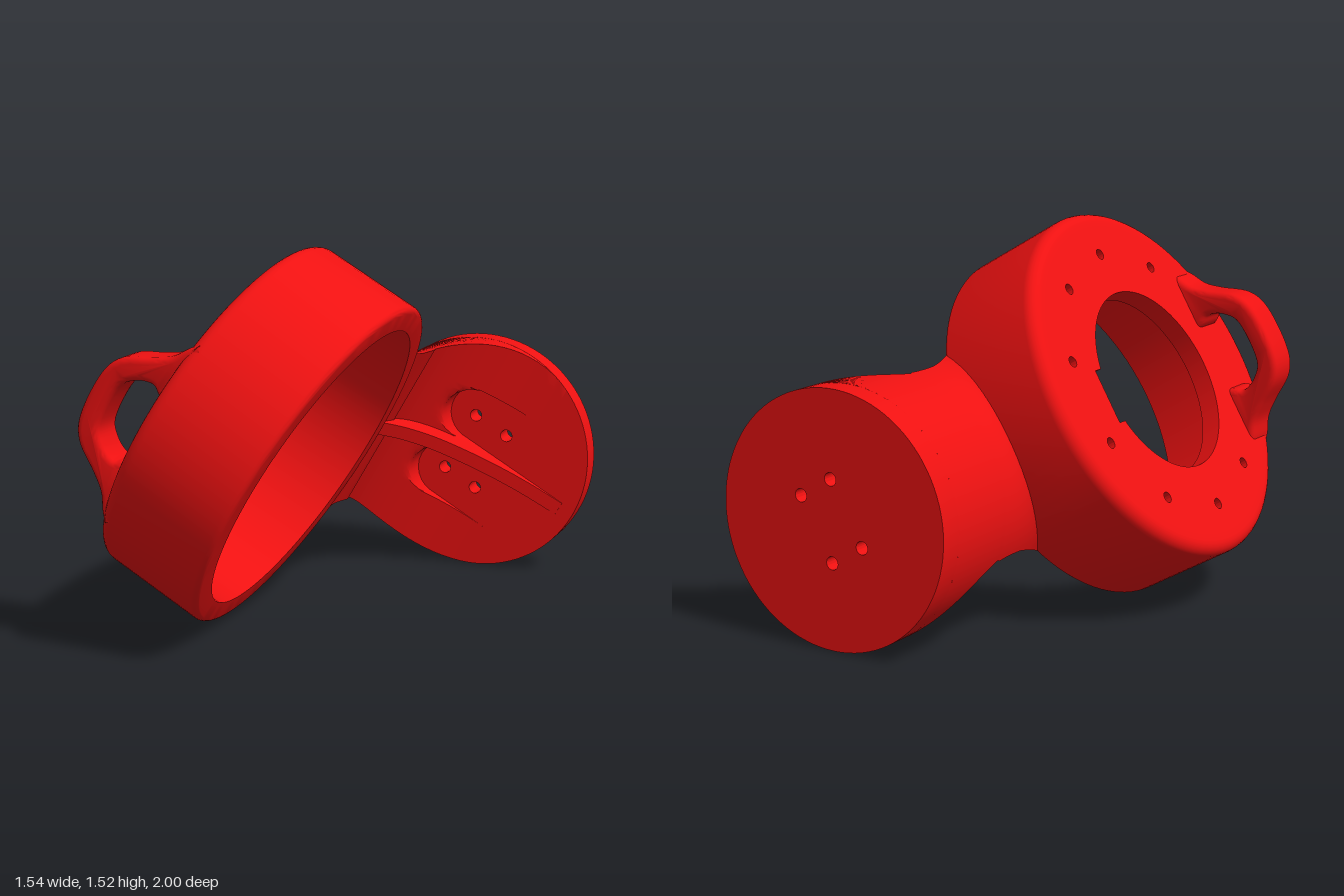
import * as THREE from 'three';
import { toCreasedNormals, mergeVertices } from 'three/addons/utils/BufferGeometryUtils.js';

// Local frame: X = housing axis (towards its open end), Y = across, Z = depth.
const RING_Z = 0.26, BACK = -0.79, FRONT = -0.316, FLOOR = 0.085;
const FLANGE_R = 0.505;

const red = new THREE.MeshStandardMaterial({ color: 0xee1111 });
const redDouble = new THREE.MeshStandardMaterial({ color: 0xee1111, side: THREE.DoubleSide });

function addMesh(group, name, geometry, material = red) {
  const mesh = new THREE.Mesh(geometry, material);
  mesh.name = name;
  group.add(mesh);
}

function circleHole(shape, x, y, r) {
  const hole = new THREE.Path();
  hole.absarc(x, y, r, 0, Math.PI * 2, true);
  shape.holes.push(hole);
}

// Round wall of the housing, with softened outer edges
function housingWall() {
  const p = [[0.66, BACK]];
  const fillet = (cx, cy, r, from) => {
    for (let i = 0; i <= 6; i++) {
      const t = from + (i / 6) * Math.PI / 2;
      p.push([cx + r * Math.cos(t), cy + r * Math.sin(t)]);
    }
  };
  fillet(0.69, BACK + 0.05, 0.05, -Math.PI / 2);
  fillet(0.715, FRONT - 0.025, 0.025, 0);
  p.push([0.64, FRONT], [0.64, BACK + FLOOR - 0.01]);
  const g = new THREE.LatheGeometry(p.map(([x, y]) => new THREE.Vector2(x, y)), 96);
  g.rotateZ(-Math.PI / 2);
  g.translate(0, 0, RING_Z);
  return toCreasedNormals(g, 0.6);
}

// Floor plate with a keyed centre opening and ten screw holes
function housingFloor() {
  const shape = new THREE.Shape();
  shape.absarc(0, 0, 0.66, 0, Math.PI * 2, false);
  const opening = new THREE.Path();
  const a = Math.asin(0.11 / 0.38);
  opening.absarc(0, 0, 0.38, a, Math.PI * 2 - a, false);
  opening.lineTo(0.405, -0.11);
  opening.lineTo(0.405, 0.11);
  opening.closePath();
  shape.holes.push(opening);
  for (let i = 0; i < 10; i++) {
    const t = i * Math.PI / 5;
    circleHole(shape, 0.55 * Math.sin(t), 0.55 * Math.cos(t), 0.022);
  }
  const g = new THREE.ExtrudeGeometry(shape, { depth: FLOOR, bevelEnabled: false, curveSegments: 48 });
  g.rotateY(Math.PI / 2);
  g.translate(BACK, 0, RING_Z);
  return toCreasedNormals(g, 0.6);
}

// Arched loop on the back of the housing
function handleLoop() {
  const mirror = half => [...half, ...half.slice().reverse().map(([u, h]) => [-u, h])];
  const v = ([u, h]) => new THREE.Vector2(BACK - h, u);
  const outer = mirror([[0.41, -0.03], [0.37, 0.005], [0.31, 0.045], [0.26, 0.11], [0.19, 0.215], [0.09, 0.26]]).map(v);
  const inner = mirror([[-0.13, -0.03], [-0.15, 0.02], [-0.172, 0.06], [-0.145, 0.125], [-0.08, 0.172]]).map(v);
  const shape = new THREE.Shape();
  shape.moveTo(outer[0].x, outer[0].y);
  shape.splineThru(outer.slice(1));
  shape.lineTo(inner[0].x, inner[0].y);
  shape.splineThru(inner.slice(1));
  shape.closePath();
  const b = 0.025;
  const g = new THREE.ExtrudeGeometry(shape, {
    depth: 0.16 - 2 * b, bevelThickness: b, bevelSize: b, bevelOffset: -b, bevelSegments: 4, curveSegments: 5,
  });
  g.translate(0, 0, 0.73 + b);
  return toCreasedNormals(g, 0.7);
}

// Mounting disc with four screw holes
function mountFlange() {
  const shape = new THREE.Shape();
  shape.absarc(0, 0, FLANGE_R, 0, Math.PI * 2, false);
  for (const x of [-0.08, 0.08]) for (const y of [-0.14, 0.14]) circleHole(shape, x, y, 0.026);
  const g = new THREE.ExtrudeGeometry(shape, { depth: 0.1, bevelEnabled: false, curveSegments: 48 });
  g.translate(0, 0, -1);
  return toCreasedNormals(g, 0.6);
}

// Inner end of the two screw pockets sunk into the arm
function pocketLimit(u) {
  const d = Math.abs(u) - 0.15;
  return Math.abs(d) < 0.12 ? -0.08 - Math.sqrt(0.0144 - d * d) : Infinity;
}

// Arm: the disc outline cut by a concave sweep, flaring into the housing wall
function mountArm() {
  const ARC = 40;
  const half = [0.0295, 0.0305];
  for (let i = 1; i < 12; i++) half.push(0.15 - 0.12 * Math.cos(i * Math.PI / 12));
  half.push(0.2695, 0.2705);
  const across = [...half.map(u => -u).reverse(), 0, ...half];

  const outline = (r, f, place) => {
    const m = Math.sqrt(r * r - f * f), phi = Math.acos(-f / r), pts = [];
    for (let i = 0; i <= ARC; i++) {
      const t = phi - (2 * phi * i) / ARC;
      pts.push([-r * Math.cos(t), r * Math.sin(t)]);
    }
    const side = [1, 2, 3].map(k => m + (0.2705 - m) * k / 4);
    for (const u of [...side.map(s => -s), ...across, ...side.slice().reverse()]) {
      pts.push([Math.min(f, pocketLimit(u)), u]);
    }
    return pts.map(([a, u]) => [a, u, place(u)]);
  };

  const rows = [];
  for (let i = 0; i <= 20; i++) {
    const t = (1 - i / 20) * Math.PI / 2;
    const z = -0.5 - 0.4 * Math.sin(t);
    if (z < -0.58) rows.push(outline(FLANGE_R, 0.2 - 0.535 * Math.cos(t), () => z));
  }
  for (let i = 0; i <= 12; i++) {
    const s = i / 12;
    const r = FLANGE_R + 0.13 * (1 - Math.sqrt(1 - 0.97 * s * s));
    const f = -0.315 - 0.015 * Math.min(1, 3 * s);
    rows.push(outline(r, f, u => {
      const end = RING_Z - Math.sqrt(0.7 * 0.7 - u * u);
      return -0.58 + (end + 0.58) * Math.sin(s * Math.PI / 2);
    }));
  }

  const n = rows[0].length, index = [];
  for (let r = 0; r < rows.length - 1; r++) {
    for (let j = 0; j < n; j++) {
      const k = (j + 1) % n, a = r * n + j, b = r * n + k, c = a + n, d = b + n;
      index.push(a, b, d, a, d, c);
    }
  }
  const g = new THREE.BufferGeometry();
  g.setAttribute('position', new THREE.Float32BufferAttribute(rows.flat(2), 3));
  g.setIndex(index);
  return toCreasedNormals(mergeVertices(g), 0.6);
}

// Thin web between the pockets, running out along the disc
function centreRib() {
  const shape = new THREE.Shape();
  shape.moveTo(-0.4, -0.91);
  shape.lineTo(0.44, -0.91);
  shape.lineTo(0.44, -0.897);
  shape.splineThru([[0.3, -0.878], [0.17, -0.845], [0.03, -0.79], [-0.13, -0.7], [-0.25, -0.59], [-0.335, -0.47]]
    .map(([x, y]) => new THREE.Vector2(x, y)));
  shape.lineTo(-0.4, -0.47);
  shape.closePath();
  const g = new THREE.ExtrudeGeometry(shape, { depth: 0.06, bevelEnabled: false, curveSegments: 5 });
  g.translate(0, 0, -0.03);
  g.rotateX(Math.PI / 2);
  return toCreasedNormals(g, 0.6);
}

export function createModel() {
  const model = new THREE.Group();
  model.name = 'angledMountHousing';
  const body = new THREE.Group();
  body.name = 'body';
  body.position.set(0.27, 0.505, 0);
  body.rotation.z = -Math.PI / 6;
  addMesh(body, 'housingWall', housingWall());
  addMesh(body, 'housingFloor', housingFloor());
  addMesh(body, 'handleLoop', handleLoop());
  addMesh(body, 'mountFlange', mountFlange());
  addMesh(body, 'mountArm', mountArm(), redDouble);
  addMesh(body, 'centreRib', centreRib());
  model.add(body);
  return model;
}
